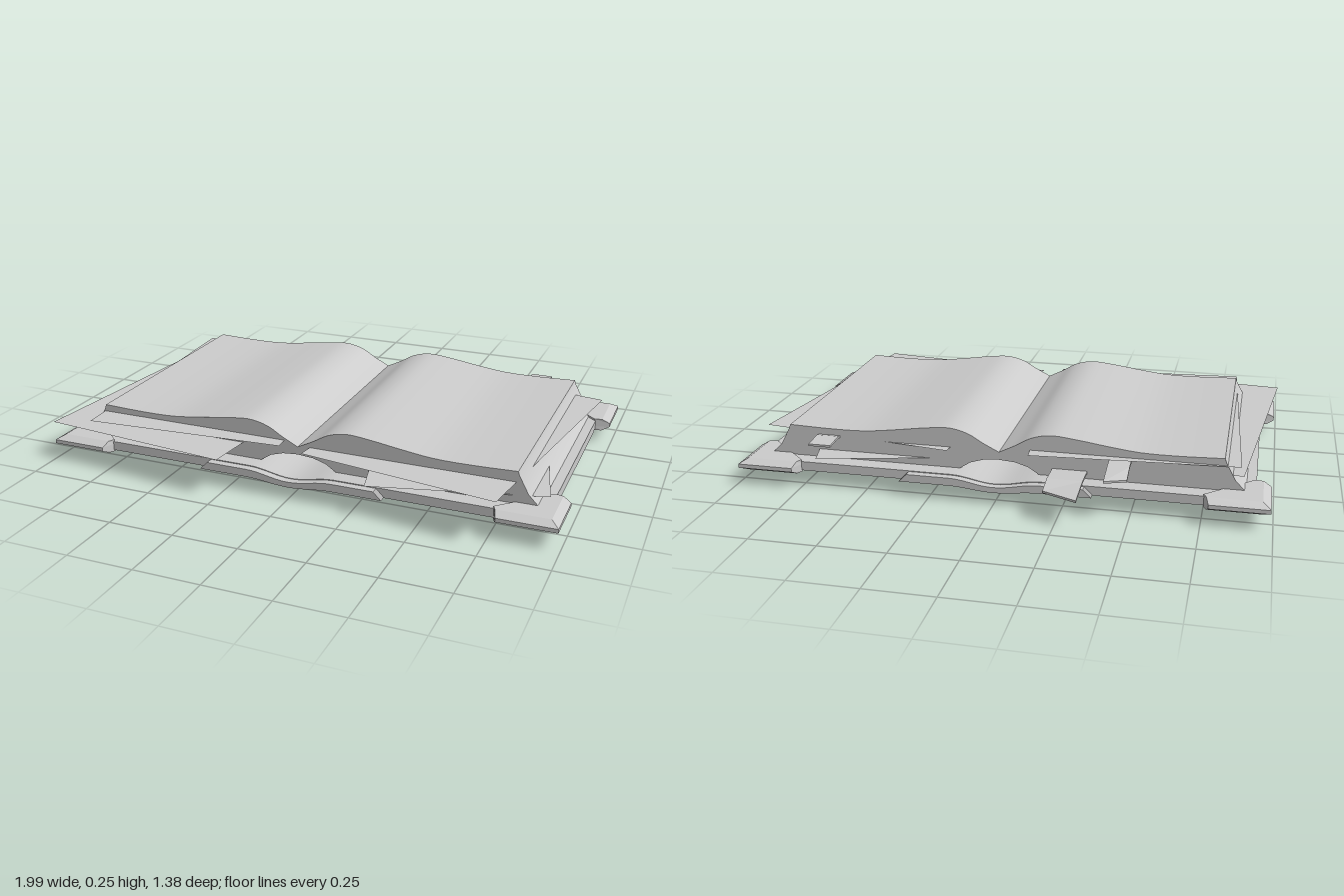
import * as THREE from 'three';
import { toCreasedNormals } from 'three/addons/utils/BufferGeometryUtils.js';

const mat = new THREE.MeshStandardMaterial({ color: 0xcccccc });
const thin = new THREE.MeshStandardMaterial({ color: 0xcccccc, side: THREE.DoubleSide });

function add(parent, name, geometry, material = mat) {
  const mesh = new THREE.Mesh(geometry, material);
  mesh.name = name;
  parent.add(mesh);
  return mesh;
}

// Front outline (x, y) swept from z0 to z1
function sweep(points, z0, z1) {
  const shape = new THREE.Shape(points.map(p => new THREE.Vector2(p[0], p[1])));
  const g = new THREE.ExtrudeGeometry(shape, { depth: z1 - z0, bevelEnabled: false });
  g.translate(0, 0, z0);
  return toCreasedNormals(g, 0.5);
}

// Slab outline that is flat on both sides and sags across the spine
function slab(halfWidth, top, bottom, topMid, bottomMid) {
  const sag = (x, flat, mid) => Math.abs(x) > 0.17 ? flat
    : flat + (mid - flat) * 0.5 * (1 + Math.cos(Math.PI * x / 0.17));
  const xs = [-halfWidth];
  for (let i = -8; i <= 8; i++) xs.push(i * 0.17 / 8);
  xs.push(halfWidth);
  return [
    ...xs.map(x => [x, sag(x, bottom, bottomMid)]),
    ...xs.reverse().map(x => [x, sag(x, top, topMid)]),
  ];
}

// Thin four-cornered sheet; corners are [x, y, z]
function sheet(a, b, c, d) {
  const g = new THREE.BufferGeometry();
  g.setAttribute('position', new THREE.Float32BufferAttribute([...a, ...b, ...c, ...d], 3));
  g.setIndex([0, 2, 1, 0, 3, 2]);
  g.computeVertexNormals();
  return g;
}

// Solid through stacked rings of equal length, capped at both ends
function loft(rings) {
  const n = rings[0].length, pos = [];
  const tri = (a, b, c) => pos.push(...a, ...b, ...c);
  for (let r = 0; r < rings.length - 1; r++) {
    for (let i = 0; i < n; i++) {
      const j = (i + 1) % n, lo = rings[r], hi = rings[r + 1];
      tri(lo[i], hi[i], hi[j]);
      tri(lo[i], hi[j], lo[j]);
    }
  }
  const lo = rings[0], hi = rings[rings.length - 1];
  for (let i = 1; i < n - 1; i++) {
    tri(lo[0], lo[i], lo[i + 1]);
    tri(hi[0], hi[i + 1], hi[i]);
  }
  const g = new THREE.BufferGeometry();
  g.setAttribute('position', new THREE.Float32BufferAttribute(pos, 3));
  g.computeVertexNormals();
  return g;
}

export function createModel() {
  const book = new THREE.Group();
  book.name = 'openBook';

  // Cover boards with the sagging spine, and the wider spine plate
  const cover = new THREE.Group();
  cover.name = 'cover';
  book.add(cover);
  add(cover, 'coverBoards', sweep(slab(0.935, 0.093, 0.058, 0.07, 0.045), -0.515, 0.572));
  const plate = sweep(slab(0.35, 0.09, 0.06, 0.068, 0.047), -0.545, 0.602);
  const p = plate.attributes.position;
  for (let i = 0; i < p.count; i++) {
    if (Math.abs(p.getX(i)) > 0.3) p.setX(i, Math.sign(p.getX(i)) * (p.getY(i) > 0.075 ? 0.33 : 0.36));
  }
  add(cover, 'spinePlate', plate);

  // Raised straps under the cover: two long, two short
  for (const [z, half] of [[0.375, 0.93], [-0.325, 0.93], [0.565, 0.16], [-0.505, 0.16]]) {
    add(cover, 'strap', sweep(slab(half, 0.07, 0.05, 0.055, 0.035), z - 0.01, z + 0.01));
  }
  for (const s of [-1, 1]) {
    const lip = add(cover, 'edgeLip', new THREE.BoxGeometry(0.02, 0.02, 0.7));
    lip.position.set(s * 0.925, 0.061, 0.025);
  }

  // Bevelled triangular corner guards
  const cornerRing = (y, inset) => [
    [0.755, 0.54], [0.775 - inset * 0.3, 0.594 - inset], [0.99 - inset, 0.594 - inset],
    [0.99 - inset, 0.385 - inset * 0.3], [0.93, 0.37],
  ].map(([x, z]) => [x, y, z]);
  for (const sx of [-1, 1]) {
    for (const sz of [-1, 1]) {
      let rings = [cornerRing(0.052, 0.03), cornerRing(0.068, 0), cornerRing(0.083, 0), cornerRing(0.1, 0.03)]
        .map(r => r.map(([x, y, z]) => [x * sx, y, z * sz + 0.0275]));
      // the unmirrored ring runs clockwise seen from below
      if (sx * sz < 0) rings = rings.map(r => r.reverse());
      add(cover, 'cornerGuard', loft(rings.map(r => r.slice().reverse())), thin);
    }
  }

  // Domed feet with pointed claws
  for (const s of [-1, 1]) {
    const foot = new THREE.Group();
    foot.name = 'domedFoot';
    foot.position.set(s * 0.56, 0.06, 0.025);
    book.add(foot);
    const dome = add(foot, 'dome',
      new THREE.SphereGeometry(0.15, 24, 8, 0, Math.PI * 2, Math.PI / 2, Math.PI / 2), thin);
    dome.scale.y = 0.4;
    for (let i = 0; i < 8; i++) {
      const main = i % 2 === 0;
      const len = main ? (i % 4 === 0 ? 0.29 : 0.22) : 0.175;
      const w = main ? 0.045 : 0.025;
      const claw = add(foot, 'claw', loft([
        [[0.1, 0.002, -w], [0.1, 0.002, w], [len, 0.002, 0]].reverse(),
        [[0.1, -0.03, -0.004], [0.1, -0.03, 0.004], [len, -0.004, 0]].reverse(),
      ]), thin);
      claw.rotation.y = i * Math.PI / 4;
    }
  }

  // Page block: curved leaves rising from the gutter, hollow above the spine
  const curve = new THREE.CatmullRomCurve3([
    [0, 0.17], [0.06, 0.2], [0.12, 0.234], [0.19, 0.25], [0.28, 0.243], [0.4, 0.226],
    [0.52, 0.212], [0.65, 0.21], [0.82, 0.215],
  ].map(([x, y]) => new THREE.Vector3(x, y, 0)));
  const half = [
    ...curve.getPoints(28).map(v => [v.x, v.y]),
    [0.825, 0.2], [0.86, 0.135], [0.9, 0.094], [0.15, 0.094], [0.11, 0.12], [0.06, 0.135], [0, 0.14],
  ];
  const mirrored = half.slice(1, -1).map(([x, y]) => [-x, y]).reverse();
  add(book, 'pageBlock', sweep([...half, ...mirrored], -0.45, 0.51));

  // Loose leaves poking out of the block
  const leaves = [
    [0.152, [-0.89, -0.45], [-0.14, -0.37], [-0.24, 0.69], [-1, 0.61]],
    [0.188, [-0.88, -0.455], [-0.12, -0.505], [-0.05, 0.565], [-0.82, 0.62]],
    [0.175, [0.19, -0.49], [0.95, -0.37], [0.79, 0.685], [0.04, 0.57]],
    [0.125, [0.06, -0.4], [0.68, -0.555], [0.93, 0.48], [0.31, 0.64]],
  ];
  for (const [y, ...corners] of leaves) {
    add(book, 'looseLeaf', sheet(...corners.map(([x, z]) => [x, y, z])), thin);
  }

  // Bookmarks drooping at the back: x range, then z and y of inner, middle and tip
  const marks = [
    [-0.33, -0.2, [-0.4, 0.118], [-0.55, 0.121], [-0.69, 0.106], 0.06],
    [-0.49, -0.41, [-0.4, 0.18], [-0.5, 0.17], [-0.6, 0.148], -0.03],
    [0.62, 0.705, [-0.4, 0.17], [-0.47, 0.185], [-0.55, 0.178], 0],
  ];
  for (const [x0, x1, a, b, c, skew] of marks) {
    const tip0 = c[0] + Math.max(0, -skew), tip1 = c[0] + Math.max(0, skew);
    const ring = ([z, y], z2 = z) => [
      [x0, y - 0.004, z], [x0, y + 0.004, z], [x1, y + 0.004, z2], [x1, y - 0.004, z2],
    ];
    add(book, 'bookmark', loft([ring(a), ring(b), ring([tip0, c[1]], tip1)]), thin);
  }

  return book;
}
